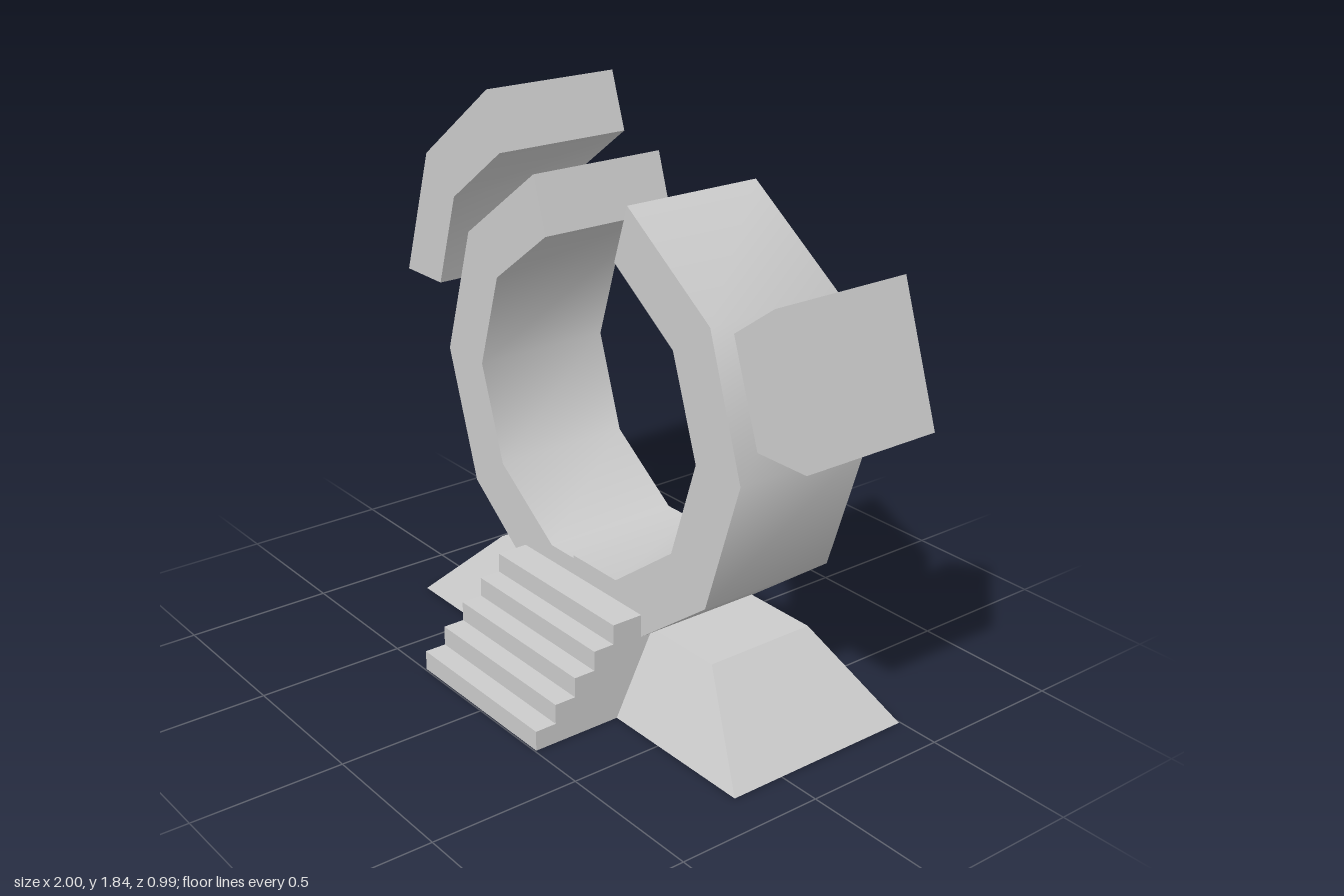
import * as THREE from 'three';
import { toCreasedNormals } from 'three/addons/utils/BufferGeometryUtils.js';

const material = new THREE.MeshStandardMaterial({ color: 0xcccccc });

function addMesh(group, name, geometry) {
  const mesh = new THREE.Mesh(geometry, material);
  mesh.name = name;
  group.add(mesh);
  return mesh;
}

// Extrude an outline from z0 to z1; shallow bends stay smooth, corners sharp
function slab(points, z0, z1, crease = 0.7) {
  const shape = new THREE.Shape(points.map(([x, y]) => new THREE.Vector2(x, y)));
  const geometry = new THREE.ExtrudeGeometry(shape, { depth: z1 - z0, bevelEnabled: false });
  geometry.translate(0, 0, z0);
  return toCreasedNormals(geometry, crease);
}

export function createModel() {
  const group = new THREE.Group();
  const back = -0.405, front = 0.09;

  // Plinth: a box whose top corners are drawn inwards
  const plinth = new THREE.BoxGeometry(1, 1, 1);
  const pos = plinth.attributes.position;
  for (let i = 0; i < pos.count; i++) {
    const top = pos.getY(i) > 0;
    const right = pos.getX(i) > 0, near = pos.getZ(i) > 0;
    const x = right ? (top ? 0.58 : 0.855) : (top ? -0.53 : -0.81);
    const z = near ? (top ? 0.045 : 0.185) : (top ? -0.35 : -0.495);
    pos.setXYZ(i, x, top ? 0.272 : 0, z);
  }
  addMesh(group, 'plinth', toCreasedNormals(plinth, 0.1));

  // Two halves of the broken ten-sided ring, meeting at the bottom
  addMesh(group, 'ringRightHalf', slab([
    [-0.055, 0.19], [-0.24, 0.19], [-0.61, 0.47], [-0.755, 0.91], [-0.62, 1.35], [-0.25, 1.62],
    [-0.19, 1.435], [-0.46, 1.235], [-0.56, 0.91], [-0.45, 0.585], [-0.175, 0.39], [-0.055, 0.39],
  ], back, front));
  addMesh(group, 'ringLeftHalf', slab([
    [-0.055, 0.2], [0.22, 0.2], [0.595, 0.48], [0.735, 0.925], [0.59, 1.36], [0.215, 1.625],
    [0.155, 1.44], [0.43, 1.245], [0.54, 0.925], [0.435, 0.6], [0.165, 0.4], [-0.055, 0.4],
  ], back, front));

  // Floating fragments of an outer ring
  addMesh(group, 'rightFragment', slab([
    [-1, 1.13], [-0.86, 1.565], [-0.495, 1.84], [-0.43, 1.65], [-0.7, 1.45], [-0.8, 1.13],
  ], back, front));
  addMesh(group, 'leftFragment', slab([
    [0.8, 1.053], [0.997, 1.053], [0.85, 1.485], [0.69, 1.37],
  ], back, front));

  // Staircase: stepped profile (z, y) extruded across x
  const steps = 5, rise = 0.0665, run = 0.074, foot = 0.495;
  const profile = [[0.05, 0], [foot, 0]];
  for (let i = 0; i < steps; i++) {
    const z = foot - i * run;
    profile.push([z, (i + 1) * rise], [i < steps - 1 ? z - run : 0.05, (i + 1) * rise]);
  }
  const stairs = slab(profile, -0.295, 0.325, 0.1);
  stairs.rotateY(-Math.PI / 2);
  addMesh(group, 'stairs', stairs);

  return group;
}
